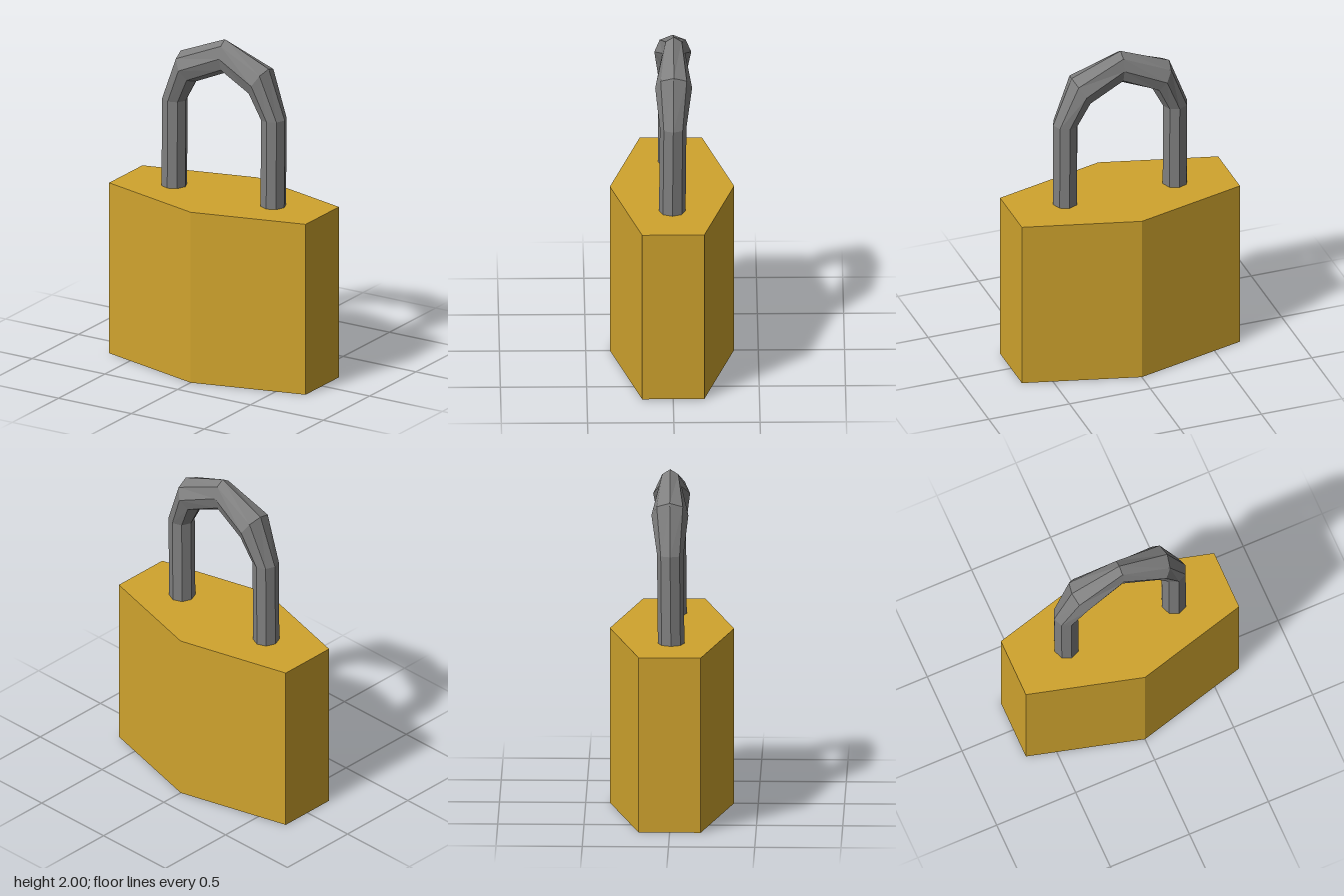
import * as THREE from 'three';

const SIDES = 8;

// Lofts octagonal rings along the shackle.
// Ring: centre x, centre y, outward half-width (x, y), half-depth, z offset.
function loftRings(rings) {
  const positions = [], index = [];
  for (const [cx, cy, ox, oy, depth, cz] of rings) {
    for (let j = 0; j < SIDES; j++) {
      const a = (j / SIDES) * Math.PI * 2;
      positions.push(cx + ox * Math.cos(a), cy + oy * Math.cos(a), cz + depth * Math.sin(a));
    }
  }
  for (let i = 0; i < rings.length - 1; i++) {
    for (let j = 0; j < SIDES; j++) {
      const a = i * SIDES + j, b = i * SIDES + (j + 1) % SIDES;
      index.push(a, a + SIDES, b, b, a + SIDES, b + SIDES);
    }
  }
  const geometry = new THREE.BufferGeometry();
  geometry.setAttribute('position', new THREE.Float32BufferAttribute(positions, 3));
  geometry.setIndex(index);
  const flat = geometry.toNonIndexed();
  flat.computeVertexNormals();
  return flat;
}

export function createModel() {
  const model = new THREE.Group();
  model.name = 'padlock';
  const brass = new THREE.MeshStandardMaterial({ color: 0xd0a42e, flatShading: true });
  const steel = new THREE.MeshStandardMaterial({ color: 0x808080, flatShading: true });

  // Body: six-sided prism with a ridge down the front and back
  const outline = new THREE.Shape([
    [0.675, -0.18], [0.675, 0.18], [0, 0.36],
    [-0.675, 0.18], [-0.675, -0.18], [0, -0.36],
  ].map(([x, z]) => new THREE.Vector2(x, z)));
  const bodyGeometry = new THREE.ExtrudeGeometry(outline, { depth: 1.047, bevelEnabled: false });
  bodyGeometry.rotateX(-Math.PI / 2);
  const body = new THREE.Mesh(bodyGeometry, brass);
  body.name = 'body';
  model.add(body);

  // Shackle: straight leg, wide shoulder and crown, mirrored to the other side
  const half = [
    [0.34, 1.04, 0.075, 0, 0.077, 0.002],
    [0.34, 1.578, 0.075, 0.003, 0.077, -0.003],
    [0.25, 1.79, 0.052, 0.085, 0.107, -0.007],
  ];
  const crown = [0, 1.897, 0, 0.103, 0.066, -0.01];
  const mirrored = half.map(([x, y, ox, ...rest]) => [-x, y, -ox, ...rest]).reverse();
  const shackle = new THREE.Mesh(loftRings([...half, crown, ...mirrored]), steel);
  shackle.name = 'shackle';
  model.add(shackle);

  return model;
}
